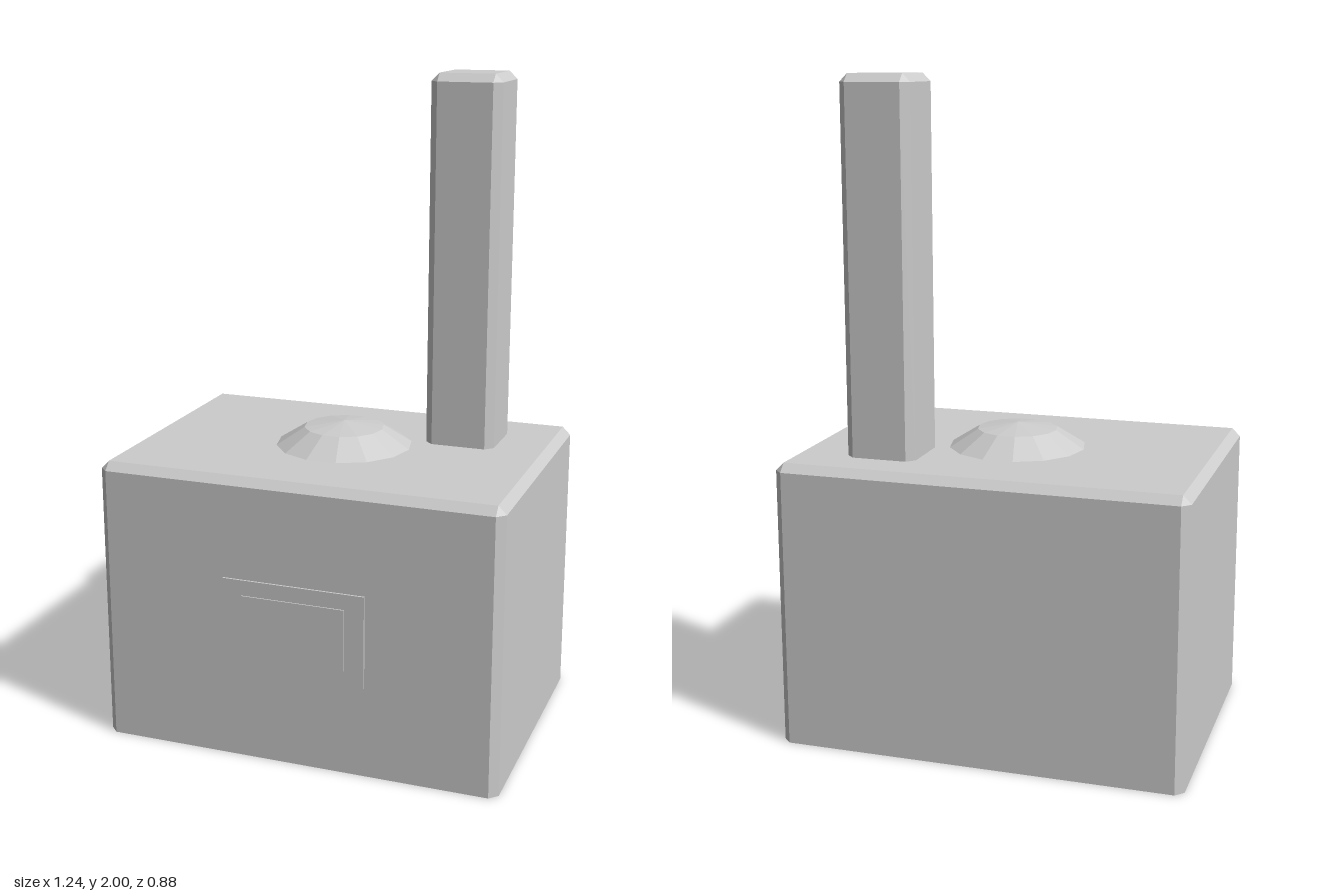
import * as THREE from 'three';
import { ConvexGeometry } from 'three/addons/geometries/ConvexGeometry.js';

// Block with chamfered upright and top edges and a flat underside
function chamferedBlock(width, depth, y0, y1, bevel) {
  const w = width / 2, d = depth / 2, points = [];
  for (const sx of [-1, 1]) {
    for (const sz of [-1, 1]) {
      for (const y of [y0, y1 - bevel]) {
        points.push(new THREE.Vector3(sx * w, y, sz * (d - bevel)));
        points.push(new THREE.Vector3(sx * (w - bevel), y, sz * d));
      }
      points.push(new THREE.Vector3(sx * (w - bevel), y1, sz * (d - bevel)));
    }
  }
  return new ConvexGeometry(points);
}

export function createModel() {
  const group = new THREE.Group();
  const grey = new THREE.MeshStandardMaterial({ color: 0xcccccc });
  grey.name = 'lightGrey';
  grey.flatShading = true;

  const add = (name, geometry, x, y, z) => {
    const mesh = new THREE.Mesh(geometry, grey);
    mesh.name = name;
    mesh.position.set(x, y, z);
    group.add(mesh);
  };

  // Main body and the tall post at its back left
  add('body', chamferedBlock(1.244, 0.87, 0, 0.878, 0.025), 0, 0, -0.005);
  add('post', chamferedBlock(0.216, 0.214, 0.86, 2, 0.024), 0.341, 0, -0.194);

  // Low faceted dome on the top
  const domeProfile = [[0.213, 0.876], [0.123, 0.933], [0, 0.951]]
    .map(([r, y]) => new THREE.Vector2(r, y));
  add('dome', new THREE.LatheGeometry(domeProfile, 14, Math.PI / 2), 0, 0, -0.007);

  // Two thin stacked plates on the front
  add('frontPlate', new THREE.BoxGeometry(0.44, 0.285, 0.008), 0, 0.425, 0.432);
  add('frontPlateInset', new THREE.BoxGeometry(0.32, 0.19, 0.005), 0, 0.425, 0.4375);

  return group;
}
